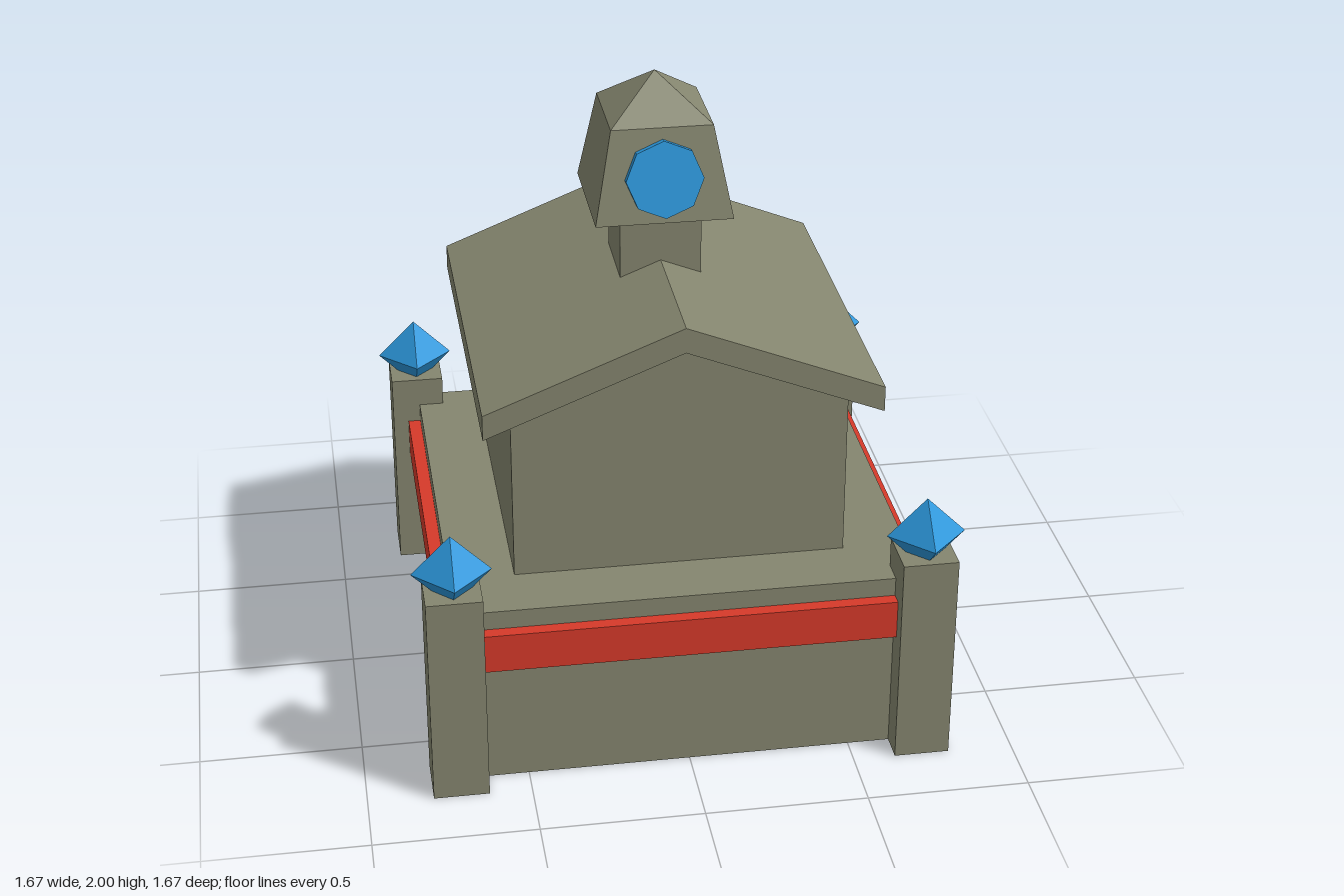
import * as THREE from 'three';

const mat = (color) => new THREE.MeshStandardMaterial({ color, flatShading: true });

export function createModel() {
  const model = new THREE.Group();
  const stone = mat(0x85866f), red = mat(0xd63a2a), blue = mat(0x2c98dc);

  const add = (name, geometry, material) => {
    const mesh = new THREE.Mesh(geometry, material);
    mesh.name = name;
    model.add(mesh);
    return mesh;
  };
  // Box given by its limits on each axis
  const box = (name, [x0, x1], [y0, y1], [z0, z1], material = stone) =>
    add(name, new THREE.BoxGeometry(x1 - x0, y1 - y0, z1 - z0)
      .translate((x0 + x1) / 2, (y0 + y1) / 2, (z0 + z1) / 2), material);
  // Outline in x/y extruded from z0 to z1, with an optional hole
  const prism = (name, points, z0, z1, hole) => {
    const shape = new THREE.Shape(points.map(([x, y]) => new THREE.Vector2(x, y)));
    if (hole) shape.holes.push(new THREE.Path(hole.map(([x, y]) => new THREE.Vector2(x, y))));
    const geometry = new THREE.ExtrudeGeometry(shape, { depth: z1 - z0, bevelEnabled: false });
    return add(name, geometry.translate(0, 0, z0), stone);
  };
  // Four-sided tapered block, sides facing the axes
  const taper = (name, top, bottom, y0, y1) =>
    add(name, new THREE.CylinderGeometry(top * Math.SQRT2, bottom * Math.SQRT2, y1 - y0, 4)
      .rotateY(Math.PI / 4).translate(0, (y0 + y1) / 2, 0), stone);

  // Base with a passage opening at the back
  const B = 0.71, D = 0.155, floor = 0.18, deck = 0.59;
  box('baseFloor', [-B, B], [0, floor], [-B, B]);
  box('baseRight', [-B, -D], [floor, deck], [-B, B]);
  box('baseLeft', [D, B], [floor, deck], [-B, B]);
  box('baseFront', [-D, D], [floor, deck], [-0.2, B]);

  // Arched hood over the passage
  prism('doorHood', [
    [-D, deck], [-0.14, deck], [-0.07, 0.657], [0, 0.675], [0.07, 0.657], [0.14, deck],
    [D, deck], [0.08, 0.67], [0, 0.69], [-0.08, 0.67],
  ], -B, -0.505);

  // Entrance steps
  box('lowerStep', [-D, D], [0, 0.06], [-0.82, -B]);
  box('upperStep', [-D, D], [0.06, 0.12], [-0.77, -B]);

  // Red bands between the posts
  const band = [0.405, 0.53], outer = 0.75, P = 0.64;
  box('frontBand', [-P, P], band, [B, outer], red);
  for (const s of [-1, 1]) {
    const [x0, x1] = s < 0 ? [-outer, -B] : [B, outer];
    box('sideBand', [x0, x1], band, [-P, P], red);
    const [b0, b1] = s < 0 ? [-P, -D] : [D, P];
    box('backBand', [b0, b1], band, [-outer, -B], red);
  }

  // Corner posts, each topped by a crystal
  for (const sx of [-1, 1]) for (const sz of [-1, 1]) {
    const x = sx * 0.715, z = sz * 0.715, h = 0.085;
    box('cornerPost', [x - h, x + h], [0, 0.685], [z - h, z + h]);
    add('crystal', new THREE.OctahedronGeometry(0.12), blue).position.set(x, 0.745, z);
  }

  // House body with a recessed back window
  const W = 0.51, recess = -0.42;
  const gable = [[-W, deck], [W, deck], [W, 1.15], [0, 1.354], [-W, 1.15]];
  prism('houseBody', gable, recess, W);
  prism('backWall', gable, -W, recess,
    [[-0.225, 0.91], [-0.225, 1.11], [0.225, 1.11], [0.225, 0.91]]);
  box('windowPane', [-0.225, 0.225], [0.91, 1.11], [recess - 0.005, recess + 0.01], red);

  // Gabled roof
  prism('roof', [
    [-0.6, 1.11], [0, 1.35], [0.6, 1.11], [0.6, 1.19], [0, 1.43], [-0.6, 1.19],
  ], -0.6, 0.6);

  // Turret
  box('turretNeck', [-0.125, 0.125], [1.3, 1.59], [-0.125, 0.125]);
  taper('turretHead', 0.155, 0.21, 1.59, 1.875);
  taper('turretCap', 0, 0.155, 1.875, 2);

  // Octagonal discs lying on the sloping turret faces
  const tilt = Math.atan2(0.055, 0.285);
  for (const turn of [0, Math.PI]) {
    const geometry = new THREE.CylinderGeometry(0.118, 0.118, 0.05, 8)
      .rotateX(Math.PI / 2 - tilt).translate(0, 1.726, 0.188).rotateY(turn);
    add('turretDisc', geometry, blue);
  }
  return model;
}
